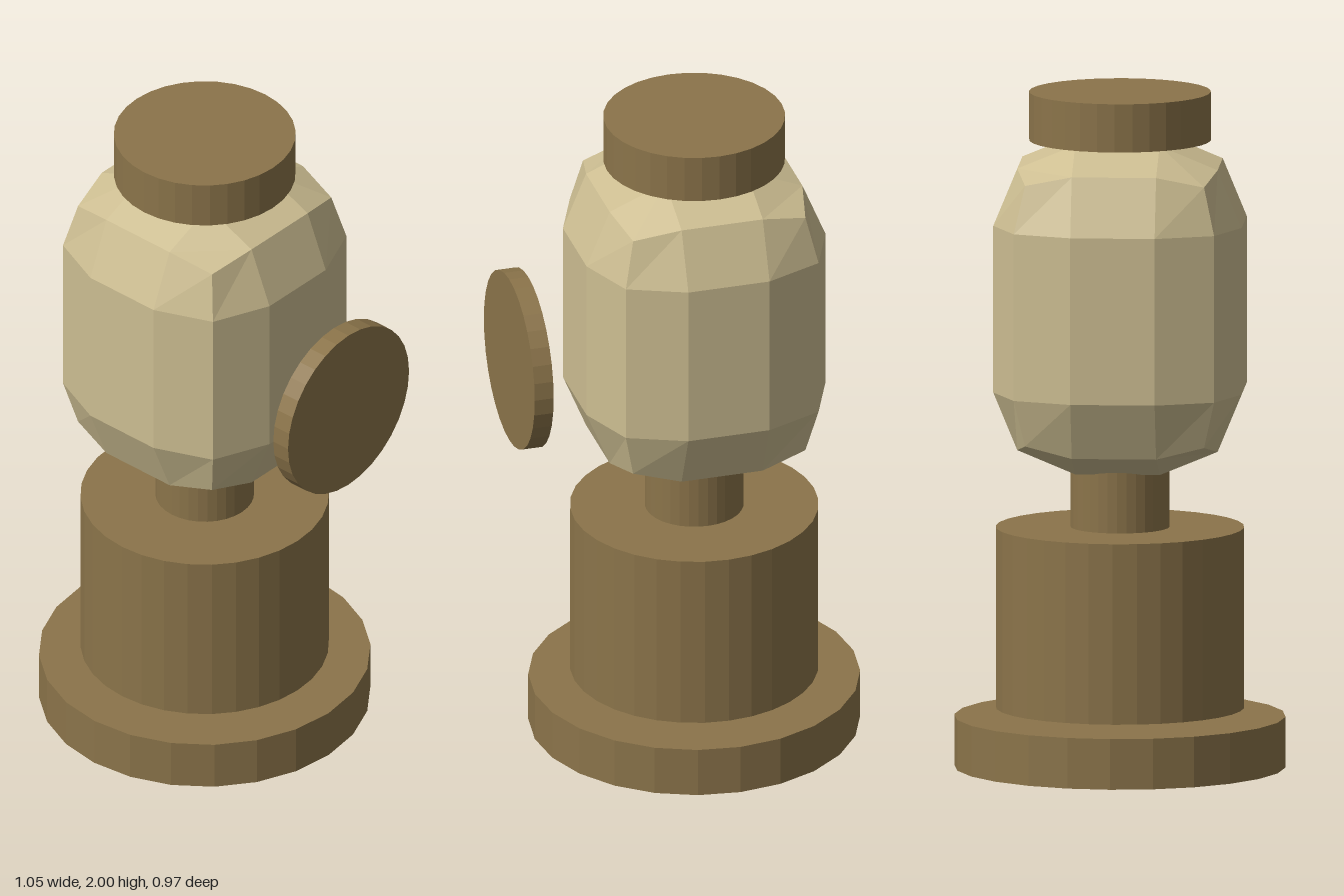
import * as THREE from 'three';
import { RoundedBoxGeometry } from 'three/addons/geometries/RoundedBoxGeometry.js';

const AXIS_X = -0.04; // the upright column stands slightly right of centre

// Faceted normals for crisp low-poly faces
function faceted(geometry) {
  const g = geometry.index ? geometry.toNonIndexed() : geometry;
  g.computeVertexNormals();
  return g;
}

export function createModel() {
  const group = new THREE.Group();
  const brown = new THREE.MeshStandardMaterial({ name: 'brown', color: 0x8b744a });
  const tan = new THREE.MeshStandardMaterial({ name: 'tan', color: 0xcdbe92 });

  function add(name, geometry, material, x, y, z = 0) {
    const mesh = new THREE.Mesh(faceted(geometry), material);
    mesh.name = name;
    mesh.position.set(x, y, z);
    group.add(mesh);
    return mesh;
  }

  // Upright discs and drums: name, radius, bottom, top, sides
  const column = [
    ['basePlate', 0.487, 0, 0.15, 24],
    ['drum', 0.365, 0.175, 0.71, 32],
    ['neck', 0.145, 0.705, 0.892, 32],
    ['topCap', 0.267, 1.857, 2, 32],
  ];
  for (const [name, radius, bottom, top, sides] of column) {
    add(name, new THREE.CylinderGeometry(radius, radius, top - bottom, sides), brown, AXIS_X, (bottom + top) / 2);
  }

  // Chamfered body
  add('body', new RoundedBoxGeometry(0.73, 0.976, 0.73, 1, 0.241), tan, AXIS_X, 1.369);

  // Free-standing disc at the left side
  const disc = add('sideDisc', new THREE.CylinderGeometry(0.267, 0.267, 0.058, 32), brown, 0.496, 1.272);
  disc.rotation.z = -Math.PI / 2;

  return group;
}
